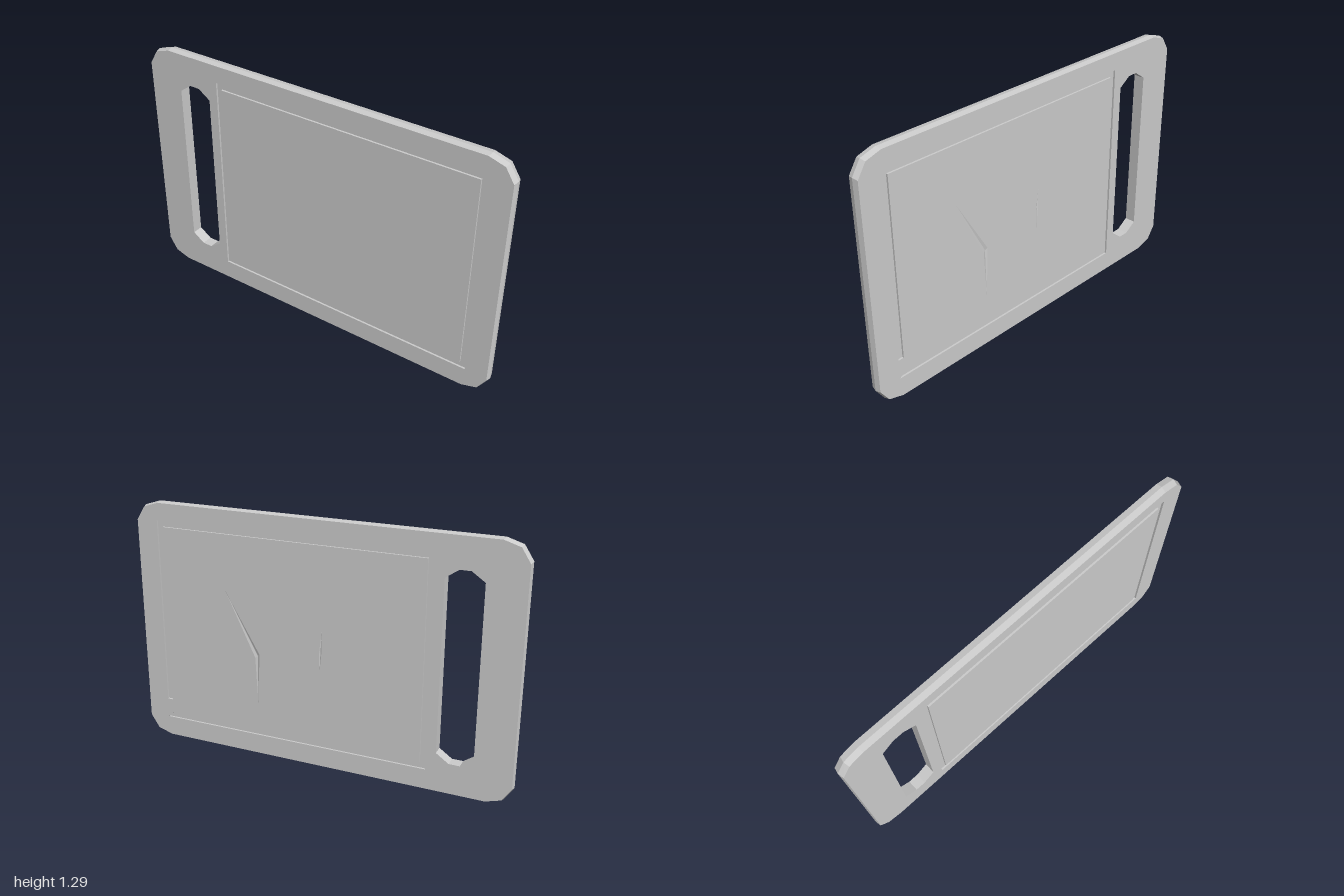
import * as THREE from 'three';
import { mergeGeometries } from 'three/addons/utils/BufferGeometryUtils.js';

// Outlines are drawn as [u, y] with u = -z; w is the depth, turned to +x at the end.
const HALF = 0.029, FLOOR = 0.019, MID_Y = 0.643;
const rect = (u0, y0, u1, y1) => [[u0, y0], [u1, y0], [u1, y1], [u0, y1]];
const reversed = loop => [...loop].reverse();

function fromPositions(positions) {
  const g = new THREE.BufferGeometry();
  g.setAttribute('position', new THREE.Float32BufferAttribute(positions, 3));
  g.computeVertexNormals();
  return g;
}

// Strip between two loops; counter-clockwise loops face outward, clockwise ones inward
function wall(low, wLow, high, wHigh) {
  const p = [];
  low.forEach((a, i) => {
    const j = (i + 1) % low.length, b = low[j], c = high[j], d = high[i];
    p.push(...a, wLow, ...b, wLow, ...c, wHigh, ...a, wLow, ...c, wHigh, ...d, wHigh);
  });
  return fromPositions(p);
}

// Flat face with holes, facing +w or -w
function face(outer, holes, w, back = false) {
  const toPoints = loop => loop.map(([u, y]) => new THREE.Vector2(u, y));
  const shape = new THREE.Shape(toPoints(outer));
  shape.holes = holes.map(h => new THREE.Path(toPoints(h)));
  const indexed = new THREE.ShapeGeometry(shape);
  if (back) indexed.setIndex([...indexed.index.array].reverse());
  const flat = indexed.toNonIndexed();
  flat.translate(0, 0, w);
  return fromPositions(Array.from(flat.attributes.position.array));
}

// Shallow cut whose sides all run down to one deepest point
function dent(loop, apex, depth) {
  const p = [];
  loop.forEach((a, i) => {
    const b = loop[(i + 1) % loop.length];
    p.push(...apex, HALF - depth, ...a, HALF, ...b, HALF);
  });
  return fromPositions(p);
}

export function createModel() {
  const group = new THREE.Group();
  const material = new THREE.MeshStandardMaterial({ color: 0xcccccc, flatShading: true });
  const add = (name, parts) => {
    const mesh = new THREE.Mesh(mergeGeometries(parts).rotateY(Math.PI / 2), material);
    mesh.name = name;
    group.add(mesh);
  };

  // Board outline with two-step corners, slightly fuller at mid thickness
  const H = 2 * MID_Y;
  const rim = [
    [-0.875, 0], [0.875, 0], [0.955, 0.025], [1, 0.095],
    [1, H - 0.095], [0.955, H - 0.025], [0.875, H], [-0.875, H],
    [-0.955, H - 0.025], [-1, H - 0.095], [-1, 0.095], [-0.955, 0.025],
  ];
  const edge = rim.map(([u, y]) => [u * 0.994, MID_Y + (y - MID_Y) * 0.991]);
  const slot = [
    [0.62, 0.21], [0.685, 0.165], [0.74, 0.165], [0.805, 0.21],
    [0.805, 1.08], [0.74, 1.125], [0.685, 1.125], [0.62, 1.08],
  ];

  // Juice groove: broken near one corner on the right face, full ring on the left
  const brokenGroove = [
    [-0.88, 0.215], [-0.88, 1.19], [0.57, 1.19], [0.57, 0.11], [-0.88, 0.11],
    [-0.85, 0.14], [0.54, 0.14], [0.54, 1.16], [-0.85, 1.16], [-0.85, 0.215],
  ];
  const ringOuter = rect(-0.88, 0.11, 0.57, 1.19);
  const ringInner = rect(-0.85, 0.14, 0.54, 1.16);

  // Knife marks
  const longCut = [[-0.50, 0.87], [-0.342, 0.54], [-0.33, 0.27], [-0.318, 0.56]];
  const shortCut = [[0.025, 0.74], [0.009, 0.62], [0.012, 0.52], [0.023, 0.63]];

  add('rim', [wall(edge, -HALF, rim, 0), wall(rim, 0, edge, HALF)]);
  add('handleSlot', [wall(reversed(slot), -HALF, reversed(slot), HALF)]);
  add('leftFace', [face(edge, [slot, brokenGroove, longCut, shortCut], HALF)]);
  add('leftGroove', [
    wall(brokenGroove, FLOOR, brokenGroove, HALF),
    face(brokenGroove, [], FLOOR),
  ]);
  add('knifeMarks', [
    dent(longCut, [-0.33, 0.55], 0.005),
    dent(shortCut, [0.016, 0.625], 0.003),
  ]);
  add('rightFace', [
    face(edge, [slot, ringOuter], -HALF, true),
    face(ringInner, [], -HALF, true),
  ]);
  add('rightGroove', [
    wall(reversed(ringOuter), -HALF, reversed(ringOuter), -FLOOR),
    wall(ringInner, -HALF, ringInner, -FLOOR),
    face(ringOuter, [ringInner], -FLOOR, true),
  ]);
  return group;
}
